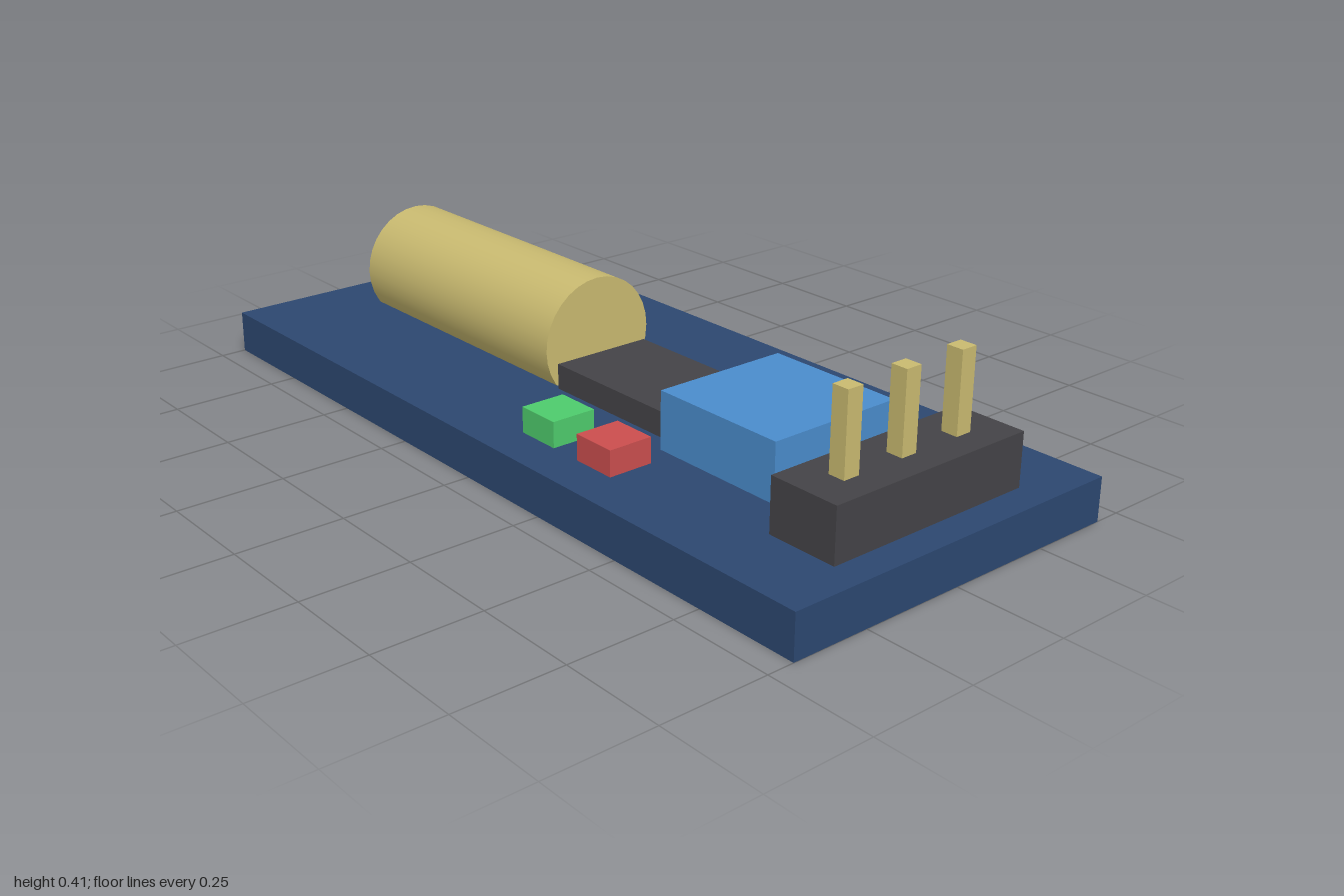
import * as THREE from 'three';

const material = (name, color) => {
  const m = new THREE.MeshStandardMaterial({ color });
  m.name = name;
  return m;
};

export function createModel() {
  const navy = material('navy', 0x2c4770);
  const gold = material('gold', 0xc9ba70);
  const charcoal = material('charcoal', 0x444347);
  const blue = material('blue', 0x4a8ccc);
  const green = material('green', 0x4ecb6c);
  const red = material('red', 0xcb4e4e);

  const group = new THREE.Group();
  group.name = 'circuitModule';
  const top = 0.102; // upper face of the board

  // Box given by its extents along each axis
  const box = (name, mat, [x0, x1], [y0, y1], [z0, z1]) => {
    const mesh = new THREE.Mesh(new THREE.BoxGeometry(x1 - x0, y1 - y0, z1 - z0), mat);
    mesh.position.set((x0 + x1) / 2, (y0 + y1) / 2, (z0 + z1) / 2);
    mesh.name = name;
    group.add(mesh);
  };

  box('board', navy, [-1, 1], [0, top], [-0.437, 0.437]);

  // Chip and the blue block beside it
  box('chip', charcoal, [-0.08, 0.328], [top, 0.162], [-0.127, 0.127]);
  box('blueBlock', blue, [0.326, 0.668], [top, 0.237], [-0.169, 0.169]);

  // Indicator lights
  box('greenLight', green, [0.069, 0.178], [top, 0.162], [0.229, 0.338]);
  box('redLight', red, [0.257, 0.366], [top, 0.162], [0.229, 0.338]);

  // Pin header with three square pins
  box('pinHeader', charcoal, [0.755, 0.926], [top, 0.226], [-0.265, 0.265]);
  for (const z of [-0.159, 0, 0.159]) {
    box('pin', gold, [0.821, 0.861], [0.2, 0.41], [z - 0.02, z + 0.02]);
  }

  // Lying cylinder, partly sunk into the board
  const cylinder = new THREE.Mesh(new THREE.CylinderGeometry(0.148, 0.148, 0.75, 32), gold);
  cylinder.rotation.z = Math.PI / 2;
  cylinder.position.set(-0.47, 0.19, 0);
  cylinder.name = 'cylinder';
  group.add(cylinder);

  return group;
}
